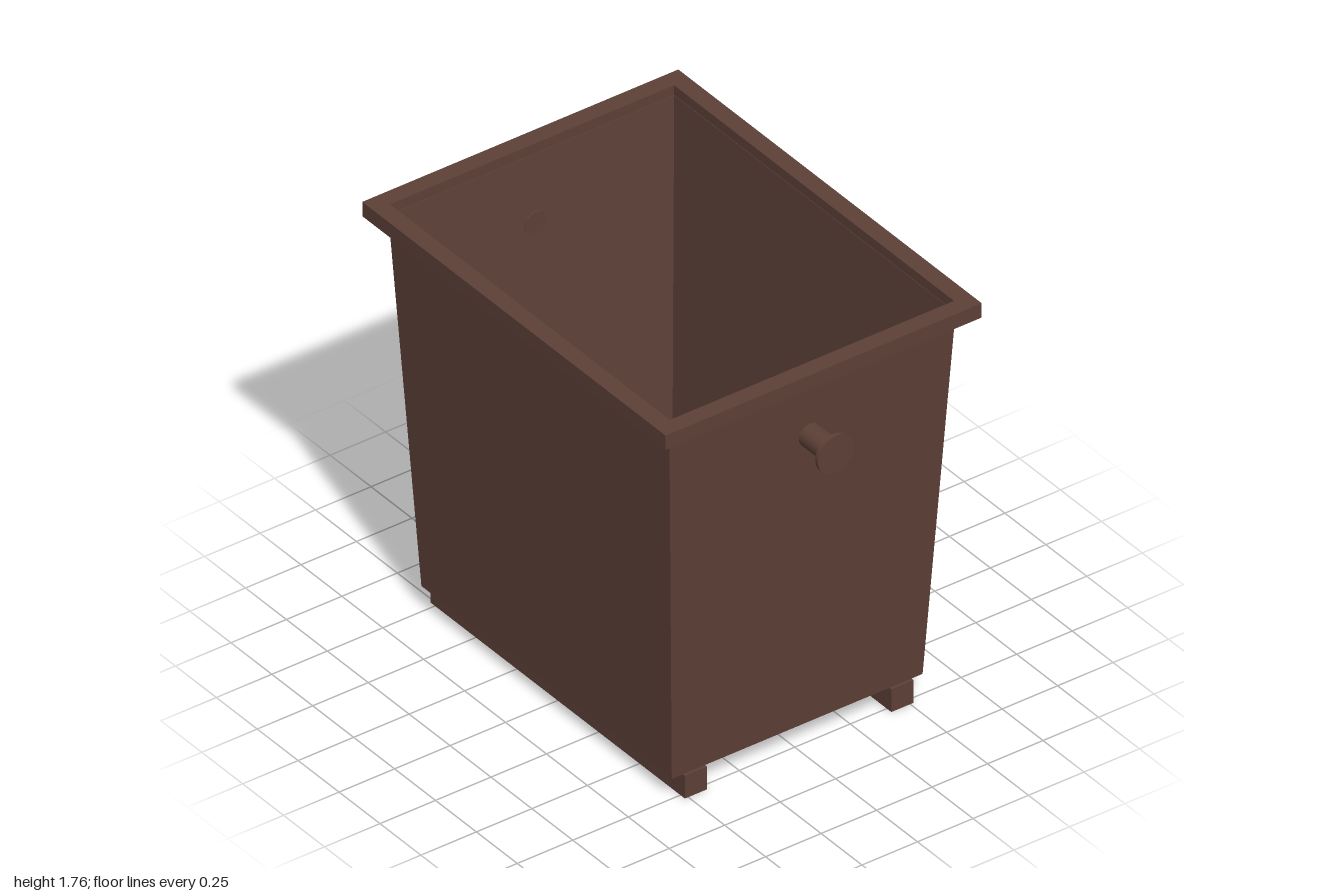
import * as THREE from 'three';

// Flat-sided skin through a list of rectangles [halfX, y, halfZ]
function rectLoft(sections) {
  const corners = ([x, y, z]) => [[x, y, z], [x, y, -z], [-x, y, -z], [-x, y, z]];
  const pos = [];
  for (let s = 0; s < sections.length - 1; s++) {
    const lo = corners(sections[s]), hi = corners(sections[s + 1]);
    for (let i = 0; i < 4; i++) {
      const j = (i + 1) % 4;
      pos.push(...lo[i], ...lo[j], ...hi[j], ...lo[i], ...hi[j], ...hi[i]);
    }
  }
  const geo = new THREE.BufferGeometry();
  geo.setAttribute('position', new THREE.Float32BufferAttribute(pos, 3));
  geo.computeVertexNormals();
  return geo;
}

export function createModel() {
  const model = new THREE.Group();
  model.name = 'tippingBin';
  const brown = new THREE.MeshStandardMaterial({ color: 0x5d4037 });
  brown.name = 'brown';

  const add = (name, geo, x = 0, y = 0, z = 0) => {
    const mesh = new THREE.Mesh(geo, brown);
    mesh.name = name;
    mesh.position.set(x, y, z);
    model.add(mesh);
    return mesh;
  };

  // Tapered thin walls, outside up and inside down
  add('walls', rectLoft([
    [0.765, 0.1, 0.565],
    [0.859, 1.72, 0.645],
    [0.852, 1.72, 0.638],
    [0.755, 0.11, 0.558],
  ]));
  add('floor', new THREE.BoxGeometry(1.526, 0.01, 1.126), 0, 0.105, 0);

  // Rectangular frame around the mouth
  add('rim', rectLoft([
    [0.855, 1.7, 0.64],
    [0.927, 1.7, 0.712],
    [0.927, 1.763, 0.712],
    [0.855, 1.763, 0.64],
    [0.855, 1.7, 0.64],
  ]));

  for (const side of [1, -1]) {
    // Skids under the front and back edges
    add(side > 0 ? 'frontSkid' : 'backSkid',
      new THREE.BoxGeometry(1.555, 0.1, 0.1), 0, 0.05, side * 0.465);

    // Lifting pins with end flanges, reaching just through the walls
    const label = side > 0 ? 'left' : 'right';
    const pin = add(label + 'Pin', new THREE.CylinderGeometry(0.05, 0.05, 0.155, 16),
      side * 0.9085, 1.43, 0);
    const flange = add(label + 'PinFlange', new THREE.CylinderGeometry(0.081, 0.081, 0.016, 32),
      side * 0.992, 1.43, 0);
    pin.rotation.z = flange.rotation.z = Math.PI / 2;
  }
  return model;
}
